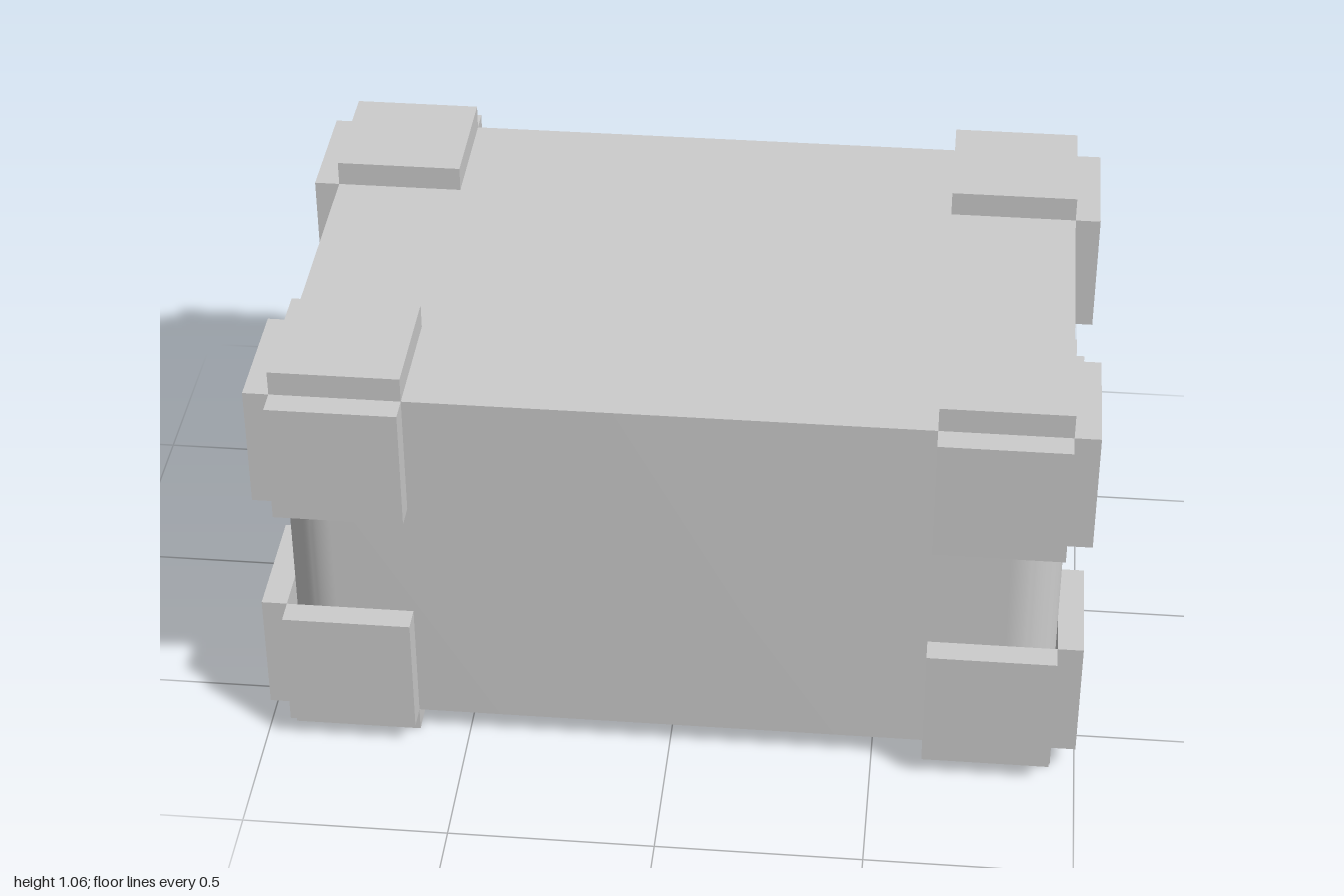
import * as THREE from 'three';
import { toCreasedNormals } from 'three/addons/utils/BufferGeometryUtils.js';

const U = 1 / 16; // grid unit
const W = 30 * U, H = 15 * U, D = 20 * U; // body size
const PAD = 5 * U, THICK = U, RADIUS = 2 * U;

function roundedRect(w, d, r) {
  const x = w / 2, y = d / 2;
  const s = new THREE.Shape();
  s.moveTo(-x + r, -y);
  s.lineTo(x - r, -y);
  s.absarc(x - r, -y + r, r, -Math.PI / 2, 0, false);
  s.lineTo(x, y - r);
  s.absarc(x - r, y - r, r, 0, Math.PI / 2, false);
  s.lineTo(-x + r, y);
  s.absarc(-x + r, y - r, r, Math.PI / 2, Math.PI, false);
  s.lineTo(-x, -y + r);
  s.absarc(-x + r, -y + r, r, Math.PI, Math.PI * 1.5, false);
  return s;
}

export function createModel() {
  const model = new THREE.Group();
  model.name = 'crate';
  const grey = new THREE.MeshStandardMaterial({ color: 0xcccccc });
  grey.name = 'plain grey';

  // Body: box with rounded vertical edges
  const bodyGeometry = new THREE.ExtrudeGeometry(roundedRect(W, D, RADIUS), {
    depth: H, bevelEnabled: false, curveSegments: 10,
  });
  bodyGeometry.rotateX(-Math.PI / 2);
  const body = new THREE.Mesh(toCreasedNormals(bodyGeometry, 0.6), grey);
  body.name = 'body';
  body.position.y = THICK;
  model.add(body);

  // Three square pads wrap each of the eight corners
  const half = [W / 2, H / 2, D / 2];
  const names = ['sidePad', 'capPad', 'facePad'];
  for (const sx of [-1, 1]) for (const sy of [-1, 1]) for (const sz of [-1, 1]) {
    const corner = new THREE.Group();
    corner.name = `${sy > 0 ? 'upper' : 'lower'}${sz > 0 ? 'Front' : 'Back'}${sx > 0 ? 'Left' : 'Right'}Corner`;
    const sign = [sx, sy, sz];
    names.forEach((name, axis) => {
      const size = [0, 1, 2].map(i => (i === axis ? THICK : PAD));
      const pos = [0, 1, 2].map(i => sign[i] * (half[i] + (i === axis ? THICK : -PAD) / 2));
      const pad = new THREE.Mesh(new THREE.BoxGeometry(...size), grey);
      pad.name = name;
      pad.position.set(pos[0], pos[1] + THICK + H / 2, pos[2]);
      corner.add(pad);
    });
    model.add(corner);
  }
  return model;
}
